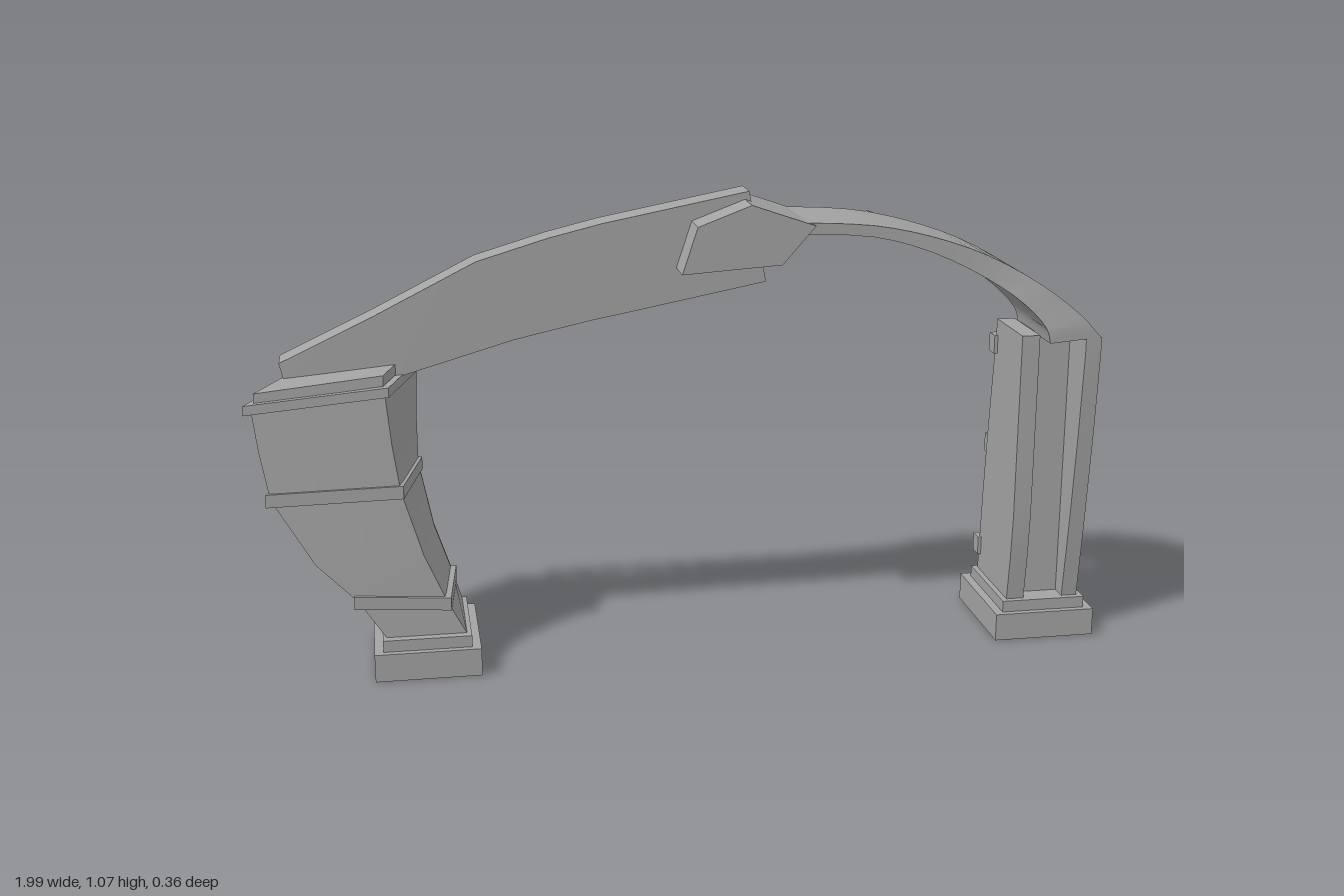
import * as THREE from 'three';
import { toCreasedNormals } from 'three/addons/utils/BufferGeometryUtils.js';

const V = (x, y, z) => new THREE.Vector3(x, y, z);

// Closed solid through a row of cross-sections, wound outwards by its signed volume
function loft(sections) {
  const n = sections[0].length, tris = [];
  const quad = (a, b, c, d) => tris.push([a, b, c], [a, c, d]);
  for (let i = 0; i < sections.length - 1; i++) {
    const p = sections[i], q = sections[i + 1];
    for (let j = 0; j < n; j++) quad(p[j], p[(j + 1) % n], q[(j + 1) % n], q[j]);
  }
  const end = sections[sections.length - 1];
  for (let j = 1; j < n - 1; j++) {
    tris.push([sections[0][0], sections[0][j + 1], sections[0][j]], [end[0], end[j], end[j + 1]]);
  }
  const volume = tris.reduce((s, [a, b, c]) => s + a.dot(b.clone().cross(c)), 0);
  const points = tris.flatMap(([a, b, c]) => (volume < 0 ? [a, c, b] : [a, b, c]));
  const geometry = new THREE.BufferGeometry().setFromPoints(points);
  return toCreasedNormals(geometry, 0.45);
}

// Linear interpolation in a table of [key, value] rows
function lookup(table, k) {
  let i = 0;
  while (i < table.length - 2 && k > table[i + 1][0]) i++;
  const [a, u] = table[i], [b, v] = table[i + 1];
  return u + (v - u) * THREE.MathUtils.clamp((k - a) / (b - a), 0, 1);
}

export function createModel() {
  const model = new THREE.Group();
  const grey = new THREE.MeshStandardMaterial({ color: 0xa3a3a3 });
  grey.name = 'stone grey';

  const add = (name, geometry, parent = model) => {
    const mesh = new THREE.Mesh(geometry, grey);
    mesh.name = name;
    parent.add(mesh);
    return mesh;
  };
  const box = (name, x0, x1, y0, y1, z0, z1, parent) => {
    const mesh = add(name, new THREE.BoxGeometry(x1 - x0, y1 - y0, z1 - z0), parent);
    mesh.position.set((x0 + x1) / 2, (y0 + y1) / 2, (z0 + z1) / 2);
    return mesh;
  };
  const bolt = (x, y, z, r, parent) => {
    const mesh = add('bolt', new THREE.CylinderGeometry(r * 0.8, r, 0.02, 8), parent);
    mesh.rotation.x = -Math.PI / 2;
    mesh.position.set(x, y, z);
  };
  const group = (name) => {
    const g = new THREE.Group();
    g.name = name;
    model.add(g);
    return g;
  };

  // Stepped footings
  for (const [name, x] of [['rightFooting', -0.62], ['leftFooting', 0.835]]) {
    const g = group(name);
    box('plinth', x - 0.12, x + 0.12, 0, 0.065, -0.13, 0.15, g);
    box('plinthStep', x - 0.1, x + 0.1, 0.065, 0.092, -0.11, 0.135, g);
  }

  // Curved pillar: corners front-outer, front-inner, back-inner, back-outer
  const pillar = group('curvedPillar');
  const rows = [
    [V(-0.71, 0.09, 0.115), V(-0.53, 0.09, 0.115), V(-0.53, 0.09, -0.09), V(-0.71, 0.09, -0.09)],
    [V(-0.77, 0.18, 0.11), V(-0.57, 0.165, 0.11), V(-0.55, 0.16, -0.095), V(-0.73, 0.17, -0.1)],
    [V(-0.86, 0.27, 0.1), V(-0.62, 0.28, 0.105), V(-0.59, 0.28, -0.1), V(-0.79, 0.28, -0.115)],
    [V(-0.95, 0.42, 0.08), V(-0.665, 0.43, 0.095), V(-0.62, 0.43, -0.11), V(-0.84, 0.43, -0.135)],
    [V(-0.97, 0.53, 0.07), V(-0.68, 0.54, 0.095), V(-0.62, 0.545, -0.12), V(-0.85, 0.535, -0.15)],
    [V(-0.98, 0.615, 0.065), V(-0.69, 0.65, 0.09), V(-0.615, 0.66, -0.125), V(-0.84, 0.635, -0.165)],
  ];
  add('pillarShaft', loft(rows), pillar);
  const centre = (row) => row.reduce((s, p) => s.add(p), V(0, 0, 0)).divideScalar(4);
  const slab = (row, scale, y0, y1) => {
    const c = centre(row);
    return loft([y0, y1].map((dy) => row.map((p) =>
      V(c.x + (p.x - c.x) * scale, p.y + dy, c.z + (p.z - c.z) * scale))));
  };
  add('lowerBand', slab(rows[1], 1.08, -0.015, 0.015), pillar);
  add('middleBand', slab(rows[3], 1.06, -0.015, 0.015), pillar);
  add('capital', slab(rows[5], 1.09, 0, 0.022), pillar);
  add('capitalTop', slab(rows[5], 0.97, 0.022, 0.046), pillar);
  // Raised edge strips and bolts on the back
  for (const [a, b] of [[2, 3], [3, 2]]) {
    const strip = rows.map((row) => {
      const p = row[a], q = p.clone().lerp(row[b], 0.2);
      return [p, q, q.clone().add(V(0, 0, -0.014)), p.clone().add(V(0, 0, -0.014))];
    });
    add('backEdgeStrip', loft(strip), pillar);
  }
  for (const i of [1, 3, 5]) {
    const p = rows[i][2].clone().lerp(rows[i][3], 0.5);
    bolt(p.x, p.y - (i === 5 ? 0.025 : 0), p.z - 0.018, 0.022, pillar);
  }

  // Heavy arm: [top x, top y, bottom x, bottom y, centre z]
  const arm = [
    [-0.92, 0.705, -0.91, 0.66, -0.065], [-0.71, 0.81, -0.66, 0.67, -0.035],
    [-0.48, 0.93, -0.4, 0.75, -0.015], [-0.32, 0.98, -0.23, 0.79, -0.003],
    [-0.2, 1.01, -0.12, 0.812, 0.003], [0.13, 1.073, 0.17, 0.867, 0.003],
  ];
  add('heavyArm', loft(arm.map(([xt, yt, xb, yb, z]) => [
    V(xt, yt, z + 0.04), V(xt, yt, z - 0.04), V(xb, yb, z - 0.04), V(xb, yb, z + 0.04)])));

  // Slim brace behind the arm
  const brace = [[0.12, 0.93, -0.108], [-0.25, 0.84, -0.108], [-0.5, 0.77, -0.138], [-0.78, 0.69, -0.17]];
  add('backBrace', loft(brace.map(([x, y, z]) => [
    V(x, y + 0.018, z - 0.012), V(x, y + 0.018, z + 0.012),
    V(x, y - 0.018, z + 0.012), V(x, y - 0.018, z - 0.012)])));

  // Pointed joint block with a star on its back
  const extrude = (points, depth) => new THREE.ExtrudeGeometry(
    new THREE.Shape(points.map(([x, y]) => new THREE.Vector2(x, y))), { depth, bevelEnabled: false });
  const joint = group('joint');
  add('jointBlock', extrude(
    [[-0.035, 0.905], [0.19, 0.92], [0.265, 1.005], [0.12, 1.055], [0, 1.01]], 0.235), joint).position.z = -0.11;
  add('jointBackPlate', extrude(
    [[0, 0.925], [0.17, 0.935], [0.21, 0.99], [0.12, 1.02], [0.02, 0.985]], 0.01), joint).position.z = -0.119;
  const star = [];
  for (let i = 0; i < 10; i++) {
    const r = i % 2 ? 0.024 : 0.058, a = Math.PI / 2 + i * Math.PI / 5;
    star.push([0.14 + r * Math.cos(a), 0.98 + r * Math.sin(a)]);
  }
  add('star', extrude(star, 0.009), joint).position.z = -0.127;

  // Slim arch that turns down into the outer face of the straight pillar
  const frontZ = [[0.09, 0.12], [0.3, 0.145], [0.5, 0.165], [0.7, 0.18], [0.78, 0.18],
    [0.86, 0.163], [0.94, 0.13], [1, 0.113]];
  const backZ = [[0.09, -0.1], [0.3, -0.085], [0.5, -0.065], [0.72, -0.038], [0.8, -0.042],
    [0.9, -0.08], [1, -0.108]];
  const bulge = [[0.1, 0], [0.42, 0.058], [0.74, 0]];
  const across = (xo, yo, xi, yi) => {
    const f = lookup(frontZ, yo), b = lookup(backZ, yo), m = (f + b) / 2 - 0.01;
    const out = yo < 0.74 ? lookup(bulge, yo) : 0;
    return [V(xo, yo, f), V(xo, yo, m), V(xo + out, yo, b), V(xi, yi, b), V(xi, yi, f)];
  };
  const outer = new THREE.CatmullRomCurve3([V(0.22, 1.012, 0), V(0.4, 1, 0), V(0.53, 0.973, 0),
    V(0.66, 0.928, 0), V(0.78, 0.862, 0), V(0.87, 0.793, 0), V(0.92, 0.74, 0)]);
  const inner = new THREE.CatmullRomCurve3([V(0.22, 0.985, 0), V(0.4, 0.974, 0), V(0.53, 0.938, 0),
    V(0.66, 0.875, 0), V(0.74, 0.82, 0), V(0.79, 0.765, 0), V(0.8, 0.73, 0)]);
  const archSections = [];
  for (let i = 0; i <= 18; i++) {
    const o = outer.getPoint(i / 18), n = inner.getPoint(i / 18);
    archSections.push(across(o.x, o.y, n.x, n.y));
  }
  add('slimArch', loft(archSections));
  for (const t of [0.22, 0.4, 0.56, 0.72, 0.87]) {
    const p = outer.getPoint(t).lerp(inner.getPoint(t), 0.5);
    bolt(p.x, p.y, lookup(backZ, outer.getPoint(t).y) - 0.006, 0.017);
  }

  // Straight pillar: outer flange, recessed web, inner flange
  const straight = group('straightPillar');
  const heights = [0.09, 0.2, 0.3, 0.42, 0.5, 0.6, 0.7, 0.74];
  add('outerFlange', loft(heights.map((y) => across(0.922, y, 0.885, y))), straight);
  const column = (name, x0, x1, front, inset, top) => add(name, loft(heights.map((h) => {
    const y = Math.min(h, top), b = lookup(backZ, y) + inset;
    return [V(x0, y, front(y)), V(x1, y, front(y)), V(x1, y, b), V(x0, y, b)];
  })), straight);
  column('web', 0.785, 0.89, () => 0.08, 0.022, 0.735);
  column('innerFlange', 0.748, 0.79, (y) => Math.min(0.14, lookup(frontZ, y)), 0, 0.75);
  column('backRib', 0.82, 0.86, () => 0, 0.008, 0.735);

  // Bolted straps across the back
  for (const [y, x0, x1] of [[0.68, 0.74, 0.93], [0.42, 0.75, 0.993], [0.155, 0.74, 0.945]]) {
    const z = lookup(backZ, y);
    box('backStrap', x0, x1, y - 0.022, y + 0.022, z - 0.022, z + 0.015, straight);
    for (const x of [x0 + 0.045, x1 - 0.045]) bolt(x, y, z - 0.03, 0.018, straight);
  }
  return model;
}
